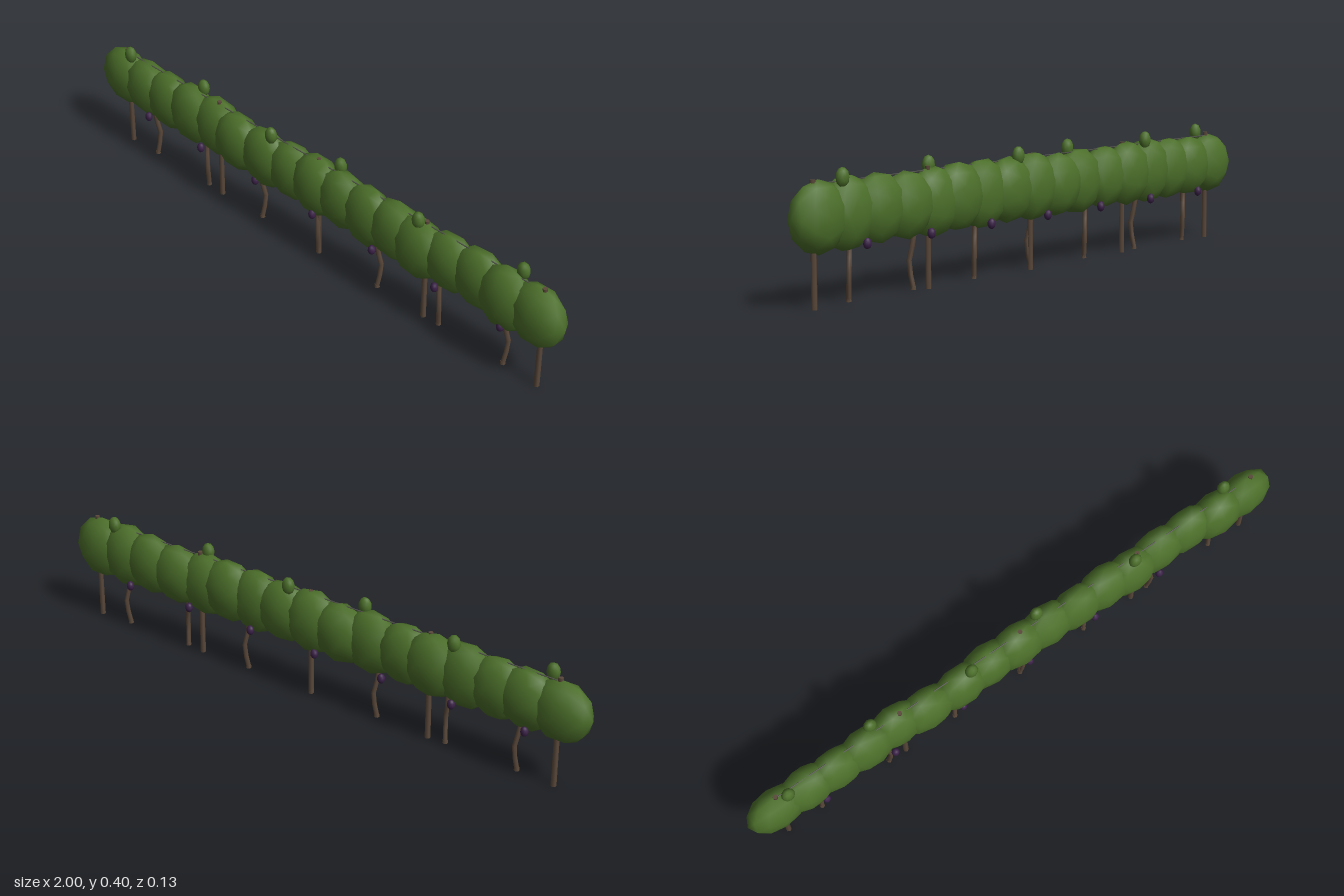
import * as THREE from 'three';

const material = (name, color) => {
  const m = new THREE.MeshStandardMaterial({ color });
  m.name = name;
  return m;
};

export function createModel() {
  const model = new THREE.Group();
  model.name = 'vineRow';
  const leaf = material('leafGreen', 0x4c6f2a);
  const wood = material('barkBrown', 0x5a483a);
  const grape = material('grapePurple', 0x3b2148);
  const wireGrey = material('wireGrey', 0x55554f);

  const add = (name, geometry, mat, x = 0, y = 0, z = 0) => {
    const mesh = new THREE.Mesh(geometry, mat);
    mesh.name = name;
    mesh.position.set(x, y, z);
    model.add(mesh);
    return mesh;
  };

  // small seeded generator, -1 to 1
  let seed = 11;
  const vary = () => {
    seed = (seed * 16807) % 2147483647;
    return (seed / 2147483647) * 2 - 1;
  };

  // faceted ball, turned before it is stretched
  const blob = (rx, ry, rz, turn, detail = 1) => {
    const g = new THREE.IcosahedronGeometry(1, detail);
    g.rotateX(turn).rotateY(turn * 0.7);
    return g.scale(rx, ry, rz);
  };

  // canopy of overlapping leaf masses
  const count = 17;
  for (let i = 0; i < count; i++) {
    const end = i === 0 || i === count - 1;
    const x = -0.895 + (1.79 * i) / (count - 1);
    add('canopy', blob(0.104, 0.107 + vary() * 0.005, 0.059 + vary() * 0.003, end ? 0 : vary() * 1.5),
      leaf, x + (end ? 0 : vary() * 0.008), 0.263 + vary() * 0.004, end ? 0 : vary() * 0.006);
  }

  // upright shoots along the top
  [-0.85, -0.53, -0.18, 0.09, 0.445, 0.82].forEach((x, i) => {
    add('topShoot', blob(0.022, 0.03, 0.018, i * 0.8), leaf, x, 0.37, i % 2 ? -0.019 : 0.017);
  });

  // straight posts
  for (let i = 0; i < 5; i++) {
    add('post', new THREE.CylinderGeometry(0.008, 0.009, 0.37, 6), wood, -0.885 + i * 0.45, 0.185, 0);
  }

  // crooked vine trunks with hanging fruit
  for (let i = 0; i < 7; i++) {
    const x = -0.757 + i * 0.257;
    const side = i % 2 ? 1 : -1;
    const path = new THREE.CatmullRomCurve3([
      new THREE.Vector3(x, 0.01, 0),
      new THREE.Vector3(x + 0.007, 0.09, side * 0.01),
      new THREE.Vector3(x - 0.004, 0.16, 0),
      new THREE.Vector3(x, 0.26, 0),
    ]);
    add('vineTrunk', new THREE.TubeGeometry(path, 6, 0.008, 6, false), wood);
    add('trunkFoot', new THREE.CylinderGeometry(0.008, 0.009, 0.01, 6), wood, x, 0.01, 0);
    add('grapeCluster', blob(0.013, 0.017, 0.012, i), grape, x + 0.01, 0.18, 0.04);
    add('grapeCluster', blob(0.013, 0.017, 0.012, i + 1), grape, x - 0.04, 0.174, -0.038);
  }

  // trellis wires
  for (const y of [0.265, 0.357]) {
    const wire = add('trellisWire', new THREE.CylinderGeometry(0.002, 0.002, 1.8, 5), wireGrey, 0.015, y, 0);
    wire.rotation.z = Math.PI / 2;
  }

  return model;
}
